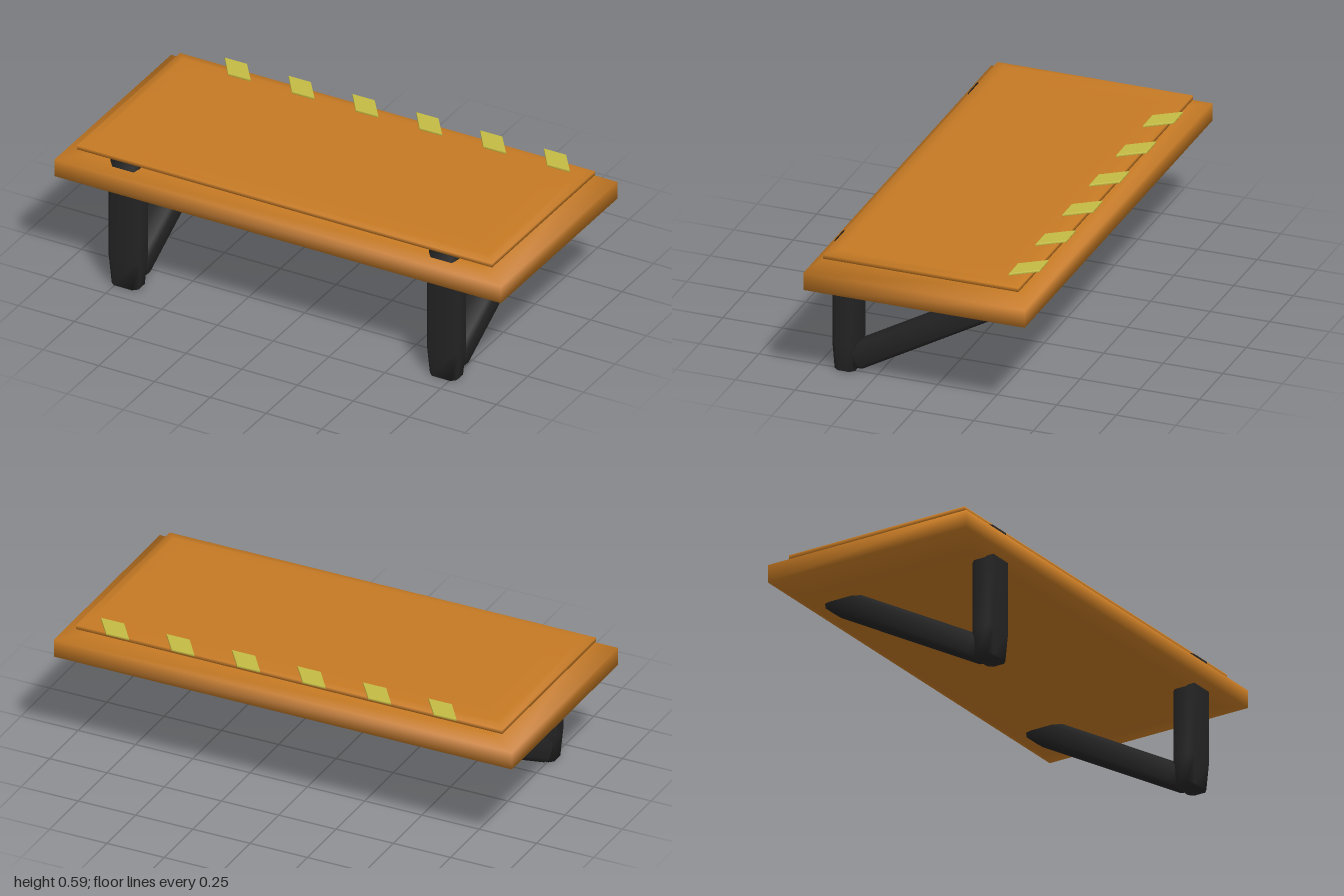
import * as THREE from 'three';

// Rectangle outline, counterclockwise from above; c > 0 chamfers the corners
function outline(hx, hz, c = 0) {
  if (!c) return [[hx, hz], [hx, -hz], [-hx, -hz], [-hx, hz]];
  return [[hx - c, hz], [hx, hz - c], [hx, c - hz], [hx - c, -hz],
    [c - hx, -hz], [-hx, c - hz], [-hx, hz - c], [c - hx, hz]];
}

// Smooth closed solid through stacked rings: [y, halfX, halfZ]
function loft(rings, chamfer = 0) {
  const pos = [], idx = [];
  let n = 0;
  for (const [y, hx, hz] of rings) {
    const pts = outline(hx, hz, chamfer);
    n = pts.length;
    pts.forEach(([x, z]) => pos.push(x, y, z));
  }
  for (let r = 0; r < rings.length - 1; r++) {
    for (let i = 0; i < n; i++) {
      const a = r * n + i, b = r * n + (i + 1) % n;
      idx.push(a, b, b + n, a, b + n, a + n);
    }
  }
  const top = (rings.length - 1) * n;
  for (let i = 1; i < n - 1; i++) {
    idx.push(0, i + 1, i, top, top + i, top + i + 1);
  }
  const g = new THREE.BufferGeometry();
  g.setAttribute('position', new THREE.Float32BufferAttribute(pos, 3));
  g.setIndex(idx);
  g.computeVertexNormals();
  return g;
}

export function createModel() {
  const wood = new THREE.MeshStandardMaterial({ name: 'orange wood', color: 0xc67a24 });
  const black = new THREE.MeshStandardMaterial({ name: 'black metal', color: 0x242424 });
  const yellow = new THREE.MeshStandardMaterial({ name: 'olive yellow', color: 0xc4bc44 });

  const model = new THREE.Group();
  model.name = 'wallBench';
  const add = (name, geometry, material) => {
    const mesh = new THREE.Mesh(geometry, material);
    mesh.name = name;
    model.add(mesh);
    return mesh;
  };

  // Thick bevelled slab
  add('slab', loft([
    [0.41, 0.8, 0.33], [0.41, 0.88, 0.41], [0.44, 1, 0.464],
    [0.515, 1, 0.464], [0.547, 0.88, 0.41], [0.547, 0.8, 0.33],
  ]), wood);

  // Thin bevelled panel on top
  add('topPanel', loft([
    [0.547, 0.89, 0.39], [0.554, 0.93, 0.41], [0.571, 0.93, 0.41],
    [0.579, 0.89, 0.365], [0.579, 0.8, 0.29],
  ]), wood);

  // Front legs with diagonal braces running up to the back
  for (const side of [-1, 1]) {
    const leg = add(side < 0 ? 'rightLeg' : 'leftLeg', loft([
      [0, 0.06, 0.043], [0.12, 0.07, 0.049], [0.43, 0.07, 0.049], [0.554, 0.065, 0.042],
    ], 0.018), black);
    leg.position.set(side * 0.713, 0, 0.387);

    const brace = add(side < 0 ? 'rightBrace' : 'leftBrace', loft([
      [0, 0.05, 0.042], [0.03, 0.06, 0.049], [0.77, 0.06, 0.049], [0.8, 0.055, 0.045],
    ], 0.018), black);
    brace.position.set(side * 0.713, 0.045, 0.36);
    brace.rotation.x = -1.057;
  }

  // Slanted markers along the back edge
  const shape = new THREE.Shape();
  shape.moveTo(-0.083, 0.048);
  shape.lineTo(0.012, 0.048);
  shape.lineTo(0.083, -0.048);
  shape.lineTo(-0.014, -0.048);
  shape.closePath();
  const marker = new THREE.ExtrudeGeometry(shape, {
    depth: 0.004, bevelEnabled: true, bevelThickness: 0.003, bevelSize: 0.003, bevelSegments: 2,
  });
  marker.rotateX(-Math.PI / 2);
  for (let i = 0; i < 6; i++) {
    add('marker' + (i + 1), marker, yellow).position.set(-0.66 + i * 0.286, 0.582, -0.39);
  }

  return model;
}
